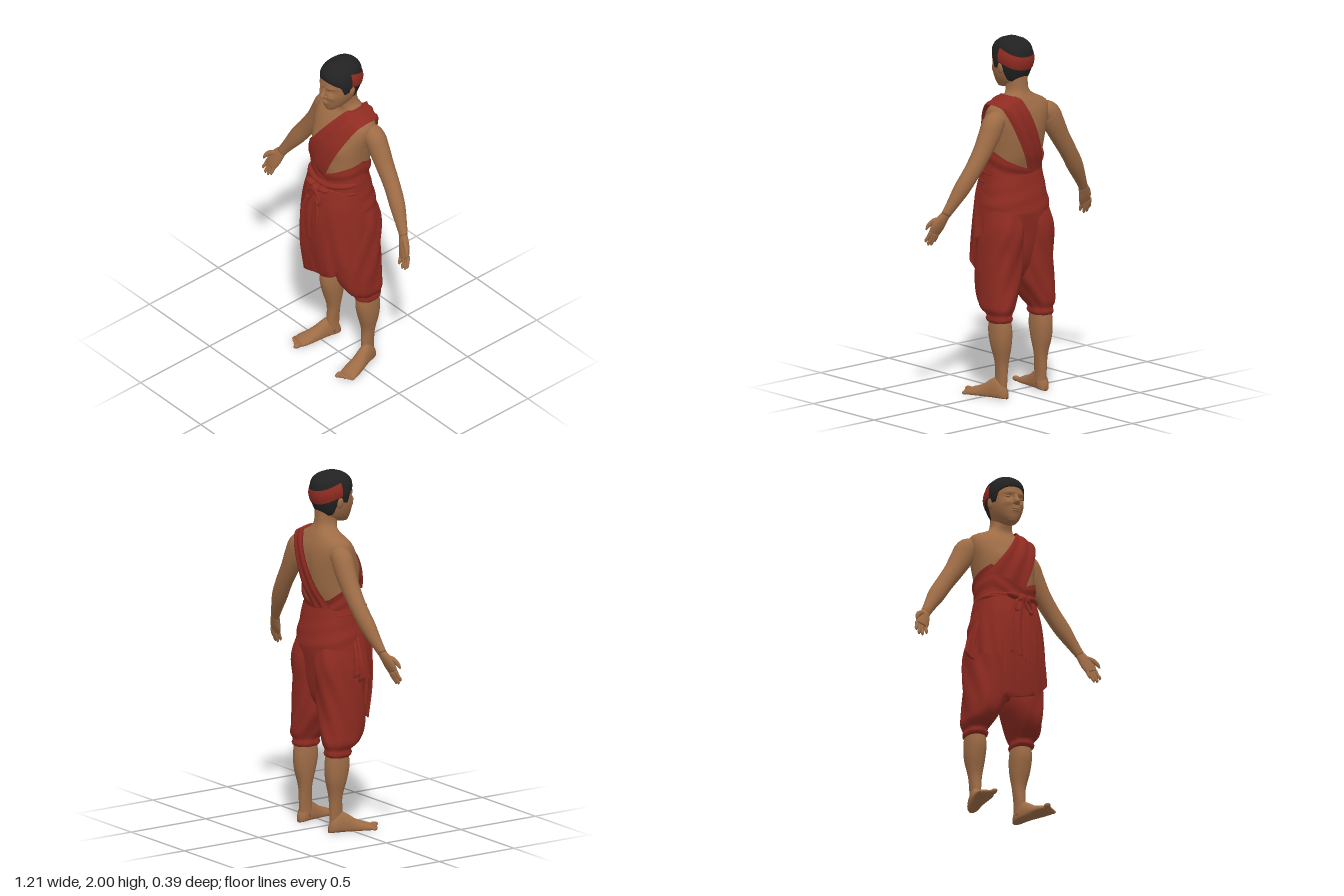
import * as THREE from 'three';

const skin = new THREE.MeshStandardMaterial({ color: 0x9e6c46 });
skin.name = 'brown skin';
const cloth = new THREE.MeshStandardMaterial({ color: 0x8e2b21, side: THREE.DoubleSide });
cloth.name = 'red cloth';
const black = new THREE.MeshStandardMaterial({ color: 0x222222 });
black.name = 'black hair';

const { sin, cos, abs, sign, exp, PI, max, min, hypot } = Math;
const lerp = THREE.MathUtils.lerp;

// Straight-line lookup in a table of [key, value]
function look(table, k) {
  let i = 0;
  while (i < table.length - 2 && k > table[i + 1][0]) i++;
  const [a, b] = [table[i], table[i + 1]];
  return lerp(a[1], b[1], min(1, max(0, (k - a[0]) / (b[0] - a[0]))));
}
// Smooth lookup of a whole row, keyed by its first entry
function at(rows, k) {
  let i = 0;
  while (i < rows.length - 2 && k > rows[i + 1][0]) i++;
  const a = rows[i], b = rows[i + 1], p = rows[max(0, i - 1)], q = rows[min(rows.length - 1, i + 2)];
  const h = b[0] - a[0], t = min(1, max(0, (k - a[0]) / h)), t2 = t * t, t3 = t2 * t;
  return a.map((v, c) => {
    const m = (b[c] - p[c]) / (b[0] - p[0]) * h, n = (q[c] - v) / (q[0] - a[0]) * h;
    return (2 * t3 - 3 * t2 + 1) * v + (t3 - 2 * t2 + t) * m + (3 * t2 - 2 * t3) * b[c] + (t3 - t2) * n;
  });
}
// Point on a rounded cross-section; rows are [y, centre x, half width, front z, back z]
function oval(rows, y, a, off = 0, n = 2.3) {
  const [, cx, w, zf, zb] = at(rows, y), c = cos(a), s = sin(a);
  return [cx + sign(c) * abs(c) ** (2 / n) * (w + off), y,
    (zf + zb) / 2 + sign(s) * abs(s) ** (2 / n) * ((zf - zb) / 2 + off)];
}
// Skin over a grid of points: nu rows, nv columns, faces turned outward
function loft(nu, nv, fn, closed = true, caps = closed) {
  const pos = [], idx = [], cols = closed ? nv : nv + 1;
  for (let i = 0; i <= nu; i++) for (let j = 0; j < cols; j++) pos.push(...fn(i / nu, j / nv));
  for (let i = 0; i < nu; i++) for (let j = 0; j < nv; j++) {
    const k = (j + 1) % cols, a = i * cols + j, b = i * cols + k;
    idx.push(a, a + cols, b, b, a + cols, b + cols);
  }
  if (caps) for (const r of [0, nu]) {
    const m = [0, 0, 0], id = pos.length / 3;
    for (let j = 0; j < cols; j++) for (let c = 0; c < 3; c++) m[c] += pos[(r * cols + j) * 3 + c] / cols;
    pos.push(...m);
    for (let j = 0; j < cols; j++) {
      const a = r * cols + j, b = r * cols + (j + 1) % cols;
      idx.push(id, r ? b : a, r ? a : b);
    }
  }
  const v = i => new THREE.Vector3(...pos.slice(i * 3, i * 3 + 3));
  const mid = v(0).lerp(v((nu >> 1) * cols + (cols >> 1)), 0.5);
  let vol = 0;
  for (let i = 0; i < idx.length; i += 3) {
    const [a, b, c] = [0, 1, 2].map(k => v(idx[i + k]).sub(mid));
    vol += a.dot(b.cross(c));
  }
  if (vol < 0) idx.reverse();
  const g = new THREE.BufferGeometry();
  g.setAttribute('position', new THREE.Float32BufferAttribute(pos, 3));
  g.setIndex(idx);
  g.computeVertexNormals();
  return g;
}
// Upright form from rows, mirrored by s, with optional folds
const column = (rows, s = 1, folds = 0, nu = 28, nv = 36) => loft(nu, nv, (t, u) => {
  const a = u * 2 * PI, y = lerp(rows[0][0], rows[rows.length - 1][0], t);
  const p = oval(rows, y, a, folds * sin(7 * a + 22 * y) * sin(PI * t) ** 0.5);
  return [p[0] * s, p[1], p[2]];
});
// Limb along a path of [x, y, z, radius across, radius in z]
function limb(path, s = 1, nu = 24, nv = 18) {
  const curve = new THREE.CatmullRomCurve3(path.map(p => new THREE.Vector3(p[0], p[1], p[2])));
  const radii = path.map((p, i) => [i / (path.length - 1), p[3], p[4]]);
  return loft(nu, nv, (t, u) => {
    const p = curve.getPoint(t), d = curve.getTangent(t), l = hypot(d.x, d.y), r = at(radii, t), a = u * 2 * PI;
    return [s * (p.x + d.y / l * r[1] * cos(a)), p.y - d.x / l * r[1] * cos(a), p.z + r[2] * sin(a)];
  });
}

const torso = [[1.08, 0, .17, .11, -.15], [1.25, 0, .16, .11, -.13], [1.36, 0, .163, .12, -.16],
  [1.48, 0, .18, .11, -.175], [1.56, 0, .195, .08, -.173], [1.61, 0, .195, .05, -.163], [1.64, 0, .175, .025, -.15],
  [1.665, 0, .125, .005, -.14], [1.69, 0, .078, 0, -.125], [1.72, 0, .058, .01, -.115], [1.8, 0, .055, .02, -.11]];
const hips = [[.66, 0, .07, .02, -.09], [.75, 0, .14, .07, -.135], [.9, 0, .19, .1, -.16],
  [1.05, 0, .193, .125, -.175], [1.15, 0, .178, .125, -.157], [1.25, 0, .165, .122, -.135]];
const trouser = [[.425, .15, .05, -.02, -.14], [.445, .15, .063, .005, -.157], [.47, .15, .057, 0, -.15],
  [.5, .152, .073, .045, -.165], [.56, .138, .089, .085, -.168], [.65, .12, .108, .1, -.165],
  [.8, .11, .114, .102, -.17], [.95, .105, .107, .11, -.181], [1.1, .09, .09, .09, -.145]];
const shin = [[.03, .143, .026, -.05, -.12], [.1, .144, .026, -.045, -.123], [.2, .143, .036, -.05, -.126],
  [.3, .147, .052, -.025, -.147], [.38, .148, .056, -.01, -.152], [.47, .15, .05, -.02, -.14]];
const skull = [[1.715, 0, .03, .085, .02], [1.74, 0, .055, .096, -.07], [1.78, 0, .076, .102, -.1],
  [1.82, 0, .087, .104, -.115], [1.86, 0, .091, .104, -.126], [1.9, 0, .091, .103, -.129],
  [1.95, 0, .078, .086, -.118], [1.978, 0, .05, .05, -.085], [1.988, 0, .02, .01, -.045]];
const apronRows = [[.6, 0, .232, .162, -.18], [.75, 0, .23, .182, -.18], [.9, 0, .22, .186, -.186],
  [1.1, 0, .195, .18, -.18], [1.22, 0, .172, .152, -.145]];

// Height of the shoulder line above x
function shoulderY(x) {
  let y = 1.61;
  while (y < 1.676 && at(torso, y)[2] > abs(x)) y += 0.002;
  return y;
}

export function createModel() {
  const root = new THREE.Group();
  const add = (name, geo, mat) => {
    const m = new THREE.Mesh(geo, mat);
    m.name = name;
    root.add(m);
    return m;
  };
  const blob = (name, mat, p, r, rz = 0) => {
    const m = add(name, new THREE.SphereGeometry(1, 18, 12), mat);
    m.position.set(...p);
    m.scale.set(...r);
    m.rotation.z = rz;
  };

  // Bare body with soft chest muscles and a spine groove
  add('torso', loft(48, 56, (t, u) => {
    const a = u * 2 * PI, y = lerp(1.08, 1.8, t), p = oval(torso, y, a), x = p[0];
    if (sin(a) > 0) p[2] += .01 * exp(-(((abs(x) - .08) / .05) ** 2) - ((y - 1.47) / .045) ** 2);
    else p[2] += .008 * exp(-((x / .02) ** 2) - ((y - 1.45) / .13) ** 2);
    return p;
  }), skin);

  // Head with cheekbones and eye sockets pressed into its front
  add('head', loft(56, 72, (t, u) => {
    const a = u * 2 * PI, y = lerp(1.715, 1.988, t), p = oval(skull, y, a), x = abs(p[0]);
    if (sin(a) > 0) p[2] += .009 * exp(-(((x - .045) / .022) ** 2) - ((y - 1.812) / .018) ** 2)
      - .009 * exp(-(((x - .038) / .02) ** 2) - ((y - 1.85) / .013) ** 2)
      + .005 * exp(-(((x - .035) / .03) ** 2) - ((y - 1.876) / .009) ** 2)
      + .006 * exp(-((x / .03) ** 2) - ((y - 1.775) / .015) ** 2);
    return p;
  }), skin);
  add('nose', limb([[0, 1.872, .096, .01, .01], [0, 1.845, .105, .011, .014], [0, 1.82, .116, .016, .018],
    [0, 1.809, .113, .013, .013], [0, 1.803, .107, .005, .005]]), skin);
  blob('upperLip', skin, [0, 1.781, .102], [.028, .005, .009]);
  blob('lowerLip', skin, [0, 1.769, .1], [.022, .005, .009]);
  for (const s of [-1, 1]) {
    blob('nostril', skin, [s * .014, 1.814, .104], [.009, .008, .012]);
    blob('eyelid', skin, [s * .038, 1.851, .086], [.018, .007, .009]);
    blob('ear', skin, [s * .09, 1.835, -.018], [.011, .032, .02], s * -.15);
  }

  // Hair cap with a hairline that drops at the temples and nape
  const hairline = [[-1, 1.755], [-.45, 1.77], [-.2, 1.83], [.1, 1.835], [.32, 1.83], [.5, 1.885], [1, 1.915]];
  add('hair', loft(20, 64, (t, u) => {
    const a = u * 2 * PI, y0 = look(hairline, sin(a));
    const p = oval(skull, lerp(y0, 1.988, sin(t * PI / 2)), a, .003 + .005 * min(1, t * 5));
    return [p[0], p[1] + .012 * t, p[2]];
  }), black);
  // Headband around the back of the head
  add('headband', loft(6, 40, (t, u) => {
    const a = lerp(PI - .02, 2 * PI + .02, u), y = 1.91 + .042 * sin(a) + lerp(-.038, .038, t);
    return oval(skull, y, a, .011 + .003 * sin(t * PI));
  }, false), cloth);

  for (const s of [-1, 1]) {
    // Arms, with palms turned forward and thumbs outward
    add('arm', limb([[.13, 1.575, -.08, .04, .045], [.195, 1.555, -.084, .064, .058], [.235, 1.49, -.087, .063, .056],
      [.285, 1.405, -.086, .054, .05], [.35, 1.31, -.08, .049, .045], [.415, 1.215, -.064, .047, .042],
      [.47, 1.13, -.045, .034, .031], [.505, 1.075, -.03, .028, .022]], s, 36, 24), skin);
    add('palm', limb([[.495, 1.09, -.034, .024, .02], [.52, 1.05, -.018, .036, .022], [.54, 1.01, -.004, .043, .02],
      [.553, .975, .008, .038, .015]], s), skin);
    for (const [x, y, tx, ty] of [[.582, .988, .598, .93], [.567, .98, .58, .909], [.55, .976, .558, .906], [.528, .985, .532, .922]])
      add('finger', limb([[x, y, .004, .011, .011], [(x + tx) / 2, (y + ty) / 2, .014, .0105, .0105],
        [tx, ty + .012, .023, .009, .009], [tx, ty, .025, .003, .003]], s, 10, 10), skin);
    add('thumb', limb([[.53, 1.055, -.012, .016, .015], [.565, 1.045, .004, .015, .014], [.588, 1.02, .018, .011, .011],
      [.597, 1.0, .024, .004, .004]], s, 12, 12), skin);

    // Lower legs and splayed feet
    add('lowerLeg', column(shin, s), skin);
    const sole = [[0, .014, .04], [.07, .03, .08], [.25, .036, .115], [.4, .038, .1], [.6, .044, .066], [.85, .05, .042], [1, .044, .026]];
    add('foot', loft(24, 24, (t, u) => {
      const [, w, h] = at(sole, t), a = u * 2 * PI, c = cos(a) * w, b = sin(a);
      return [s * (lerp(.14, .205, t) + .971 * c), h * (b > 0 ? .3 + .7 * b : .3 * (1 - abs(b) ** .5)), lerp(-.13, .125, t) - .238 * c];
    }), skin);
    for (let i = 0; i < 5; i++) {
      const o = -.036 + i * .018, r = i ? .0115 - i * .0007 : .015;
      blob('toe', skin, [s * (.208 + .971 * o), r, .137 - .25 * o - i * .005], [r, r, r * 1.9]);
    }
    // Baggy trouser legs gathered below the knee, meeting in a crease at the seat
    add('trouserLeg', column(trouser, s, .004, 52, 48), cloth);
  }
  add('trouserSeat', column(hips, 1, .002, 28, 56), cloth);

  // Wrapped cloth around the ribs, its top edge rising at both sides
  const wrapTop = [[0, 1.4], [45, 1.36], [80, 1.31], [110, 1.36], [140, 1.42], [180, 1.38], [225, 1.31], [270, 1.28], [320, 1.34], [360, 1.4]];
  add('ribWrap', loft(24, 72, (t, u) => {
    const a = u * 2 * PI, y = lerp(1.1, look(wrapTop, u * 360), t);
    return oval(torso, y, a, .012 + .003 * sin(t * 22 + 2 * cos(a)));
  }, true, false), cloth);
  // Lower wrap over the seat
  add('hipWrap', loft(12, 64, (t, u) => {
    const a = u * 2 * PI, y = lerp(1.05 + .02 * sin(a + .8), 1.25, t);
    return oval(hips, y, a, .011 + .003 * sin(t * 14 + 3 * a) * (1 - t));
  }, true, false), cloth);

  // Sash over the left shoulder, following the chest and back
  const drape = (u, v) => {
    const front = u < .5, k = sin(PI * u), top = lerp(.062, .182, v);
    const x0 = front ? lerp(-.172, .04, v) : lerp(-.13, .0, v), y0 = front ? lerp(1.36, 1.3, v) : 1.26;
    const x = lerp(x0, top, k), y = lerp(y0, shoulderY(top), k);
    const [, , w, zf, zb] = at(torso, y), off = .018 + .004 * sin(v * 14 + u * 4);
    const d = ((zf - zb) / 2 + off) * max(0, 1 - min(1, abs(x) / (w + off)) ** 2.3) ** (1 / 2.3);
    return [x, y + .014 * k, (zf + zb) / 2 + (front ? 1 : -1) * d * min(1, abs(u - .5) * 14)];
  };
  add('shoulderSash', loft(64, 16, drape, false), cloth);

  // Apron wrap with a stepped hem
  const hem = [[-.23, .86], [-.125, .84], [-.105, .62], [.085, .655], [.14, .7], [.195, .77], [.222, .87], [.24, .95]];
  add('apron', loft(24, 72, (t, u) => {
    const a = lerp(-.08, PI + .05, u), y = lerp(1.22, look(hem, cos(a) * .23), t);
    return oval(apronRows, y, a, .005 * t * sin(13 * a + 5 * t));
  }, false), cloth);
  // Hanging cloth ends with a soft thickness, each row [y, left x, right x, z, drop of the right corner]
  const hang = (name, rows) => add(name, loft(18, 24, (t, u) => {
    const [y, a, b, z, drop] = at(rows, lerp(rows[0][0], rows[rows.length - 1][0], t));
    const k = .5 + .5 * cos(u * 2 * PI);
    return [lerp(a, b, k), y - drop * k, z - .004 + .008 * sin(u * 2 * PI) + .003 * sin(k * 9 + t * 3)];
  }), cloth);
  hang('longPanel', [[.6, -.108, .085, .164, -.05], [.8, -.112, .088, .186, -.02], [1, -.1, .085, .187, 0], [1.19, -.06, .06, .165, 0]]);
  hang('shortTieEnd', [[.86, -.1, -.008, .19, .01], [1.03, -.095, -.012, .19, 0], [1.2, -.045, .012, .174, 0]]);
  hang('narrowTieEnd', [[.83, .0, .03, .19, .02], [1.03, .01, .045, .19, 0], [1.2, .0, .035, .174, 0]]);
  hang('hipTail', [[.88, -.28, -.205, .02, .04], [.97, -.25, -.205, .02, .02], [1.09, -.2, -.175, .03, 0]]);
  hang('hipTailBack', [[.9, -.265, -.2, -.01, .04], [1, -.235, -.19, 0, .02], [1.09, -.195, -.17, .01, 0]]);

  // Rolled belt across the front, tucked into the wrap at the back, and its knot
  for (const [y, tilt] of [[1.24, .012], [1.21, -.014]]) {
    const pts = Array.from({ length: 28 }, (_, i) => {
      const a = lerp(-.5, PI + .5, i / 27), p = oval(hips, y, a, -.006 + .014 * max(0, sin(a)));
      return new THREE.Vector3(p[0], y + tilt * cos(a) + .005 * sin(3 * a), p[2]);
    });
    add('belt', new THREE.TubeGeometry(new THREE.CatmullRomCurve3(pts), 80, .017, 10), cloth);
  }
  blob('knot', cloth, [0, 1.21, .165], [.03, .032, .03]);
  for (const s of [-1, 1]) {
    blob('knotFold', cloth, [s * .045, 1.222, .157], [.045, .018, .022], s * .15);
    const loop = add('knotLoop', new THREE.TorusGeometry(.03, .009, 8, 24), cloth);
    loop.position.set(s * .032, 1.165, .182);
    loop.scale.set(.6, 1.3, 1);
    loop.rotation.z = s * .4;
  }
  return root;
}
